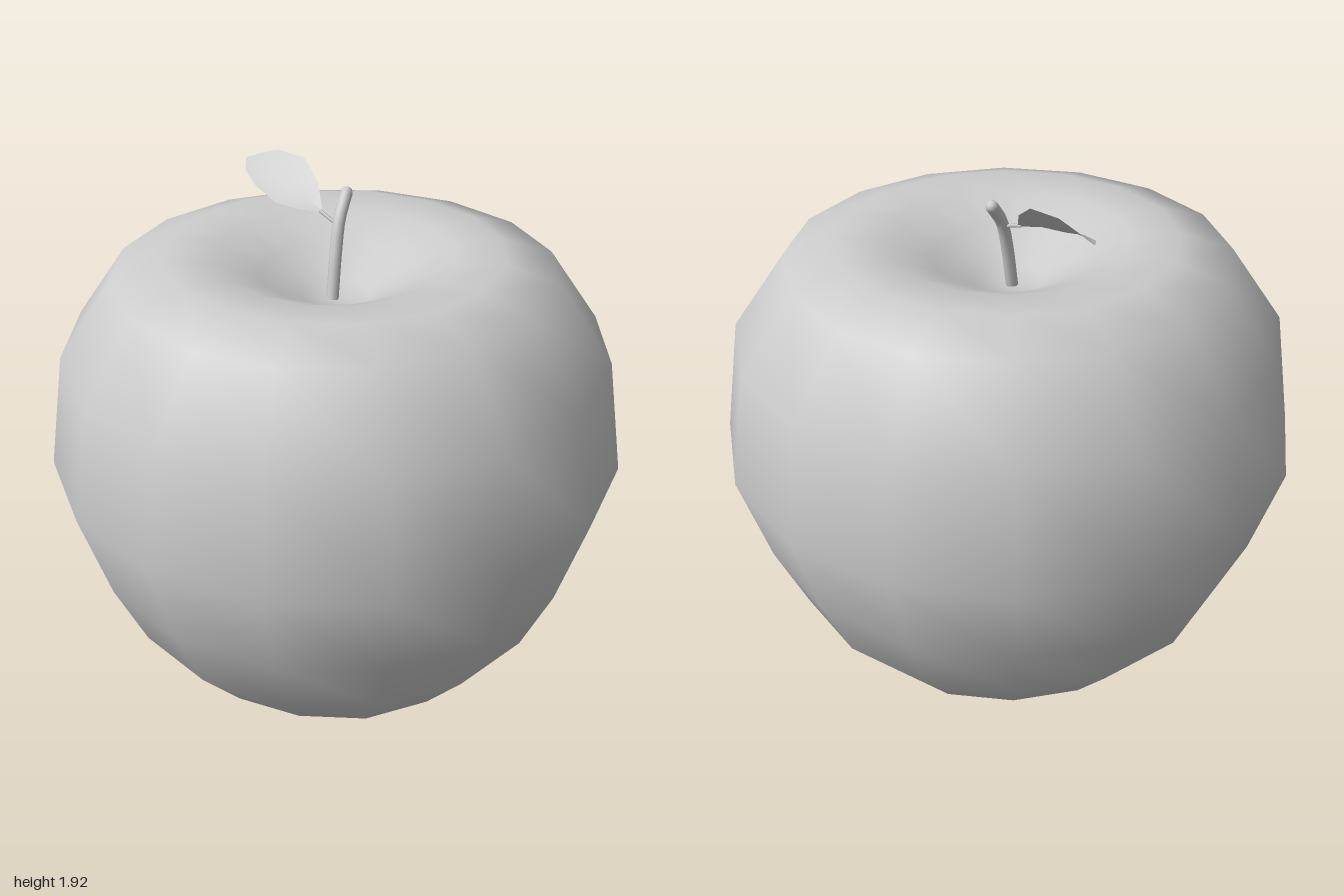
import * as THREE from 'three';
import { mergeVertices } from 'three/addons/utils/BufferGeometryUtils.js';

const grey = new THREE.MeshStandardMaterial({ color: 0xcccccc });
const greyThin = new THREE.MeshStandardMaterial({ color: 0xcccccc, side: THREE.DoubleSide });

function add(group, name, geometry, material = grey) {
  const mesh = new THREE.Mesh(geometry, material);
  mesh.name = name;
  group.add(mesh);
}

// Tapered round rod along a curve, with rounded ends
function rod(group, name, points, radius, segments, sides) {
  const curve = new THREE.CatmullRomCurve3(points.map(p => new THREE.Vector3(...p)));
  const part = new THREE.Group();
  part.name = name;
  add(part, name + 'Shaft', new THREE.TubeGeometry(curve, segments, radius, sides));
  for (const t of [0, 1]) {
    const cap = new THREE.SphereGeometry(radius, sides, 6);
    cap.translate(...curve.getPoint(t).toArray());
    add(part, name + 'End', cap);
  }
  group.add(part);
}

// Fruit: 16-sided lathe with five lobes pressed into the underside
function fruitGeometry() {
  // radius, height, lobe depth
  const rings = [
    [0, 0.19, 0], [0.15, 0.11, 0.012], [0.29, 0.025, 0.025], [0.41, 0.055, 0.025],
    [0.605, 0.18, 0.005], [0.79, 0.4, 0], [0.9, 0.65, 0], [1, 0.98, 0], [0.935, 1.38, 0],
    [0.75, 1.64, 0], [0.57, 1.7, 0], [0.41, 1.685, 0], [0.26, 1.62, 0], [0.12, 1.54, 0], [0, 1.52, 0],
  ];
  let geo = new THREE.LatheGeometry(rings.map(([r, y]) => new THREE.Vector2(r, y)), 16);
  const pos = geo.attributes.position;
  for (let i = 0; i < pos.count; i++) {
    const depth = rings[i % rings.length][2];
    const angle = Math.atan2(pos.getX(i), pos.getZ(i));
    pos.setY(i, pos.getY(i) + depth * Math.cos(5 * angle));
  }
  geo.deleteAttribute('uv');
  geo.deleteAttribute('normal');
  geo = mergeVertices(geo, 1e-4);
  geo.computeVertexNormals();
  return geo;
}

// Leaf: rows of low edge, midrib and high edge, lofted from base to tip
function leafGeometry() {
  const rows = [
    [[0.065, 1.785, -0.11], [0.07, 1.79, -0.11], [0.075, 1.795, -0.11]],
    [[0.03, 1.795, -0.19], [0.08, 1.815, -0.175], [0.13, 1.86, -0.165]],
    [[0.025, 1.8, -0.27], [0.095, 1.84, -0.265], [0.17, 1.92, -0.25]],
    [[0.05, 1.83, -0.37], [0.115, 1.865, -0.37], [0.175, 1.925, -0.37]],
    [[0.1, 1.855, -0.455], [0.14, 1.875, -0.45], [0.17, 1.9, -0.44]],
    [[0.16, 1.873, -0.5], [0.162, 1.875, -0.5], [0.164, 1.877, -0.498]],
  ];
  const index = [];
  for (let r = 0; r < rows.length - 1; r++) {
    for (let c = 0; c < 2; c++) {
      const a = r * 3 + c;
      index.push(a, a + 1, a + 3, a + 1, a + 4, a + 3);
    }
  }
  const geo = new THREE.BufferGeometry();
  geo.setAttribute('position', new THREE.Float32BufferAttribute(rows.flat(2), 3));
  geo.setIndex(index);
  geo.computeVertexNormals();
  return geo;
}

export function createModel() {
  const apple = new THREE.Group();
  apple.name = 'apple';
  add(apple, 'fruit', fruitGeometry());
  rod(apple, 'stem', [[0, 1.52, -0.015], [0.035, 1.68, -0.025], [0.07, 1.78, -0.035], [0.125, 1.852, -0.045]], 0.021, 10, 10);
  rod(apple, 'leafStalk', [[0.06, 1.76, -0.035], [0.062, 1.775, -0.07], [0.07, 1.79, -0.115]], 0.006, 4, 6);
  add(apple, 'leaf', leafGeometry(), greyThin);
  return apple;
}
